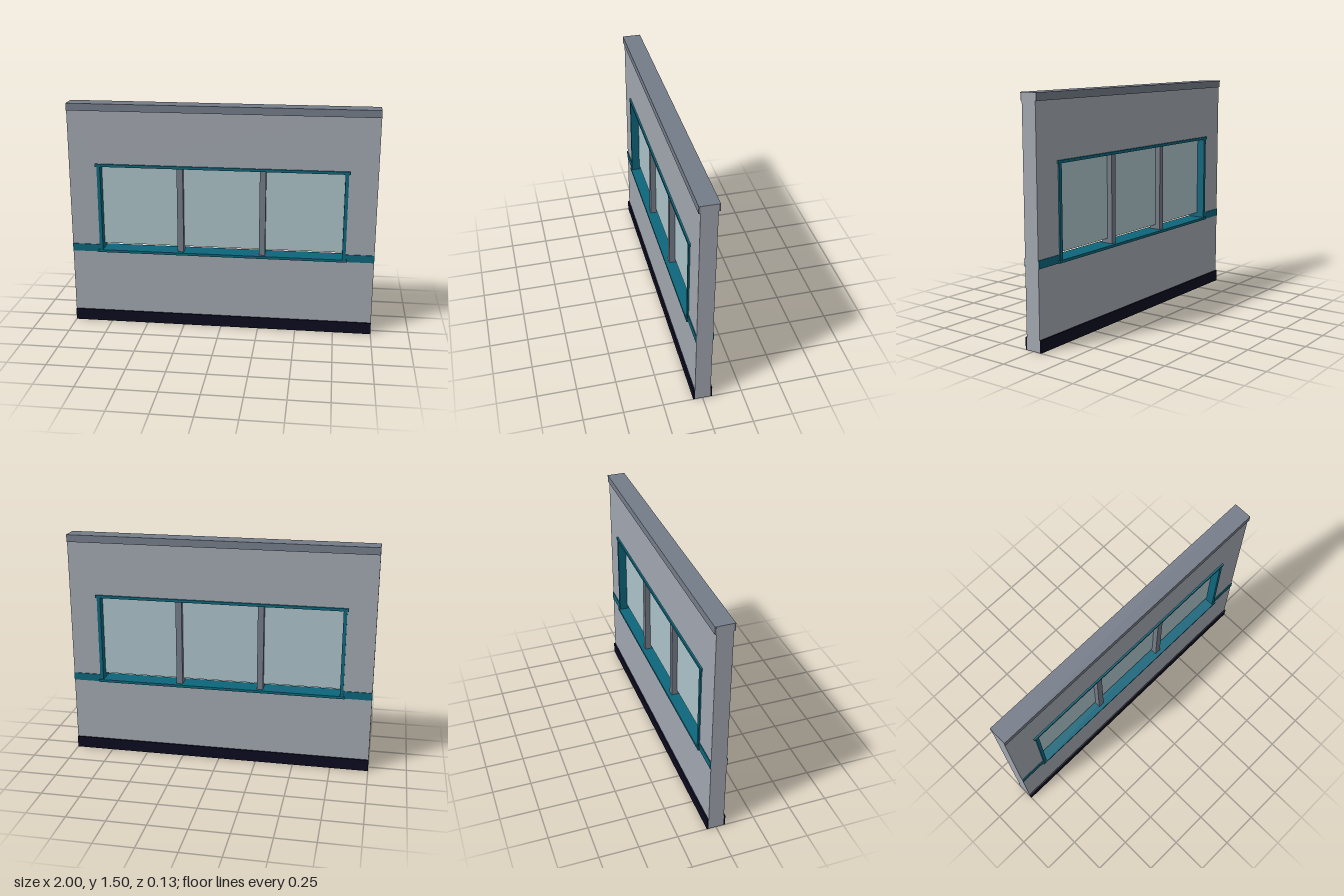
import * as THREE from 'three';

const mat = (name, color) => {
  const m = new THREE.MeshStandardMaterial({ color });
  m.name = name;
  return m;
};

export function createModel() {
  const group = new THREE.Group();
  const wallGrey = mat('wall grey', 0xa1a6af);
  const trimGrey = mat('trim grey', 0x747c88);
  const teal = mat('teal', 0x0d667b);
  const dark = mat('dark navy', 0x0b0b1f);
  const glass = mat('pale glass', 0xabc2c8);

  // Box given by its extents on each axis
  const box = (name, material, [x0, x1], [y0, y1], [z0, z1]) => {
    const mesh = new THREE.Mesh(new THREE.BoxGeometry(x1 - x0, y1 - y0, z1 - z0), material);
    mesh.position.set((x0 + x1) / 2, (y0 + y1) / 2, (z0 + z1) / 2);
    mesh.name = name;
    group.add(mesh);
  };
  const half = (r) => [-r, r];

  // Wall slab with a window opening
  const rect = (shape, x, y0, y1) =>
    shape.moveTo(-x, y0).lineTo(x, y0).lineTo(x, y1).lineTo(-x, y1).closePath();
  const outline = rect(new THREE.Shape(), 1, 0, 1.499);
  outline.holes.push(rect(new THREE.Path(), 0.805, 0.505, 1.1));
  const wallGeo = new THREE.ExtrudeGeometry(outline, { depth: 0.1, bevelEnabled: false });
  wallGeo.translate(0, 0, -0.05);
  const wall = new THREE.Mesh(wallGeo, wallGrey);
  wall.name = 'wall';
  group.add(wall);

  // Top cap, set just inside the wall ends
  box('topCap', trimGrey, half(0.9995), [1.453, 1.5], half(0.06));

  // Kickboards and waist stripes on both faces
  for (const s of [1, -1]) {
    const span = (a, b) => (s > 0 ? [a, b] : [-b, -a]);
    box('kickboard', dark, half(1), [0, 0.077], span(0.05, 0.06));
    for (const side of [1, -1]) {
      box('waistStripe', teal, side > 0 ? [0.81, 1] : [-1, -0.81], [0.5, 0.55], span(0.05, 0.055));
    }
  }

  // Window frame
  box('windowHead', teal, half(0.825), [1.087, 1.105], half(0.061));
  box('windowSill', teal, half(0.825), [0.5, 0.517], half(0.065));
  box('windowJamb', teal, [-0.815, -0.793], [0.51, 1.095], half(0.059));
  box('windowJamb', teal, [0.793, 0.815], [0.51, 1.095], half(0.059));

  // Mullions and glass, with a gap left above the sill
  for (const x of [-0.27, 0.27]) {
    box('mullion', trimGrey, [x - 0.02, x + 0.02], [0.51, 1.09], half(0.04));
  }
  box('glassPane', glass, half(0.795), [0.547, 1.09], half(0.005));

  return group;
}
